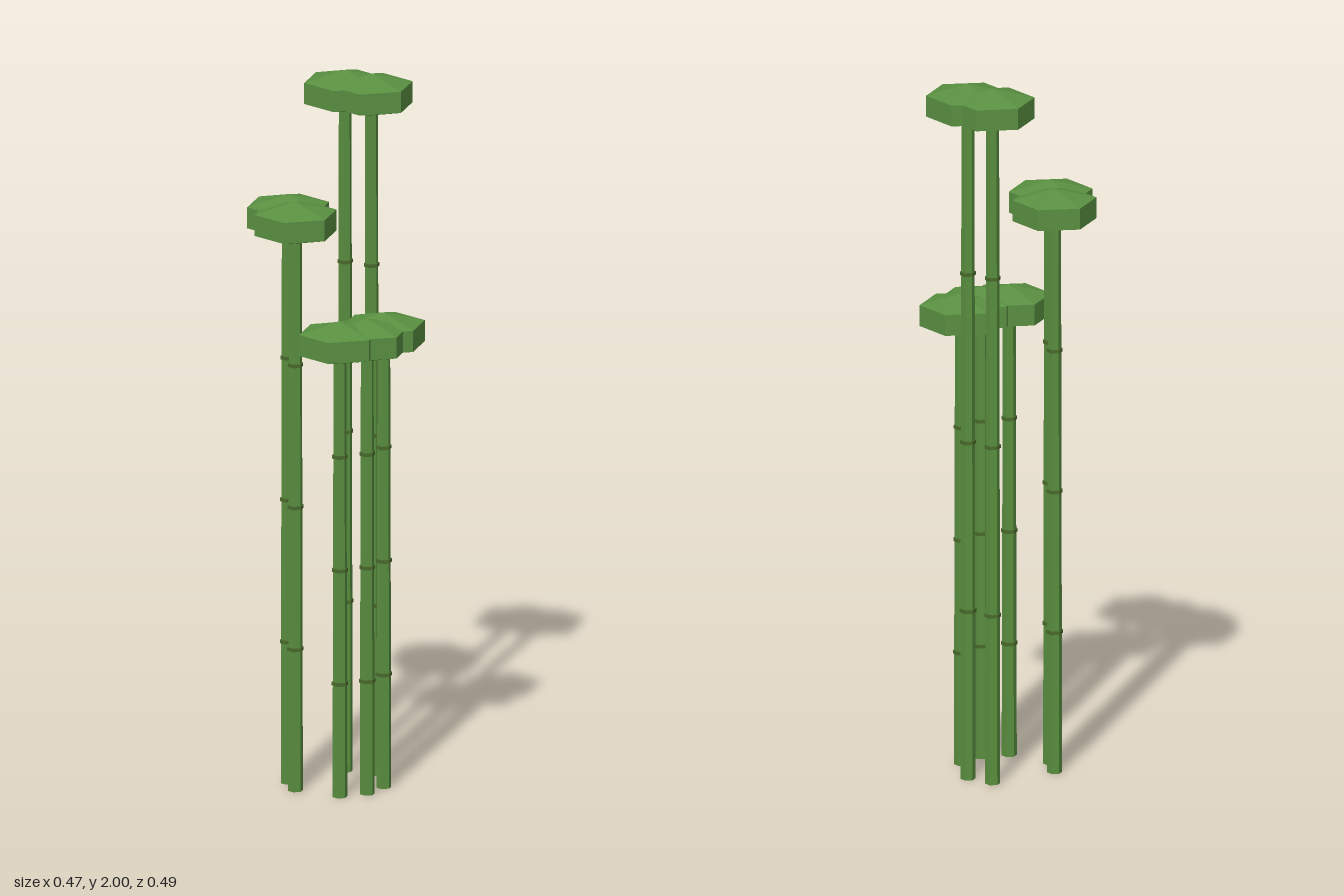
import * as THREE from 'three';

const stemGreen = new THREE.MeshStandardMaterial({ color: 0x5a8f40, flatShading: true });
stemGreen.name = 'stem green';
const nodeGreen = new THREE.MeshStandardMaterial({ color: 0x4a6b2c, flatShading: true });
nodeGreen.name = 'node green';
const leafGreen = new THREE.MeshStandardMaterial({ color: 0x5a9142, flatShading: true });
leafGreen.name = 'leaf green';

// Stalks: x, z, height of the stem
const STALKS = [
  [-0.017, -0.131, 1.94], [0.063, -0.116, 1.94],
  [-0.133, 0.032, 1.62], [-0.092, 0.102, 1.62],
  [0.132, 0.002, 1.295], [0.043, 0.129, 1.295], [0.107, 0.08, 1.295],
];
const BOTTOM_R = 0.021, TOP_R = 0.018;

function addMesh(group, name, geometry, material, y) {
  const mesh = new THREE.Mesh(geometry, material);
  mesh.name = name;
  mesh.position.y = y;
  group.add(mesh);
}

function createStalk(x, z, height) {
  const stalk = new THREE.Group();
  stalk.name = 'stalk';
  stalk.position.set(x, 0, z);

  // Tapered six-sided stem
  addMesh(stalk, 'stem', new THREE.CylinderGeometry(TOP_R, BOTTOM_R, height, 6), stemGreen, height / 2);

  // Joint rings at each quarter of the stem
  for (let i = 1; i < 4; i++) {
    const r = THREE.MathUtils.lerp(BOTTOM_R, TOP_R, i / 4) + 0.003;
    addMesh(stalk, 'joint', new THREE.CylinderGeometry(r, r, 0.01, 6), nodeGreen, height * i / 4);
  }

  // Flattened hexagonal foliage, corners along z
  const crown = new THREE.SphereGeometry(0.134, 6, 3);
  crown.rotateY(Math.PI / 6).scale(1, 0.06 / 0.134, 1);
  addMesh(stalk, 'crown', crown, leafGreen, height);
  return stalk;
}

export function createModel() {
  const model = new THREE.Group();
  model.name = 'bamboo cluster';
  for (const [x, z, height] of STALKS) model.add(createStalk(x, z, height));
  return model;
}
